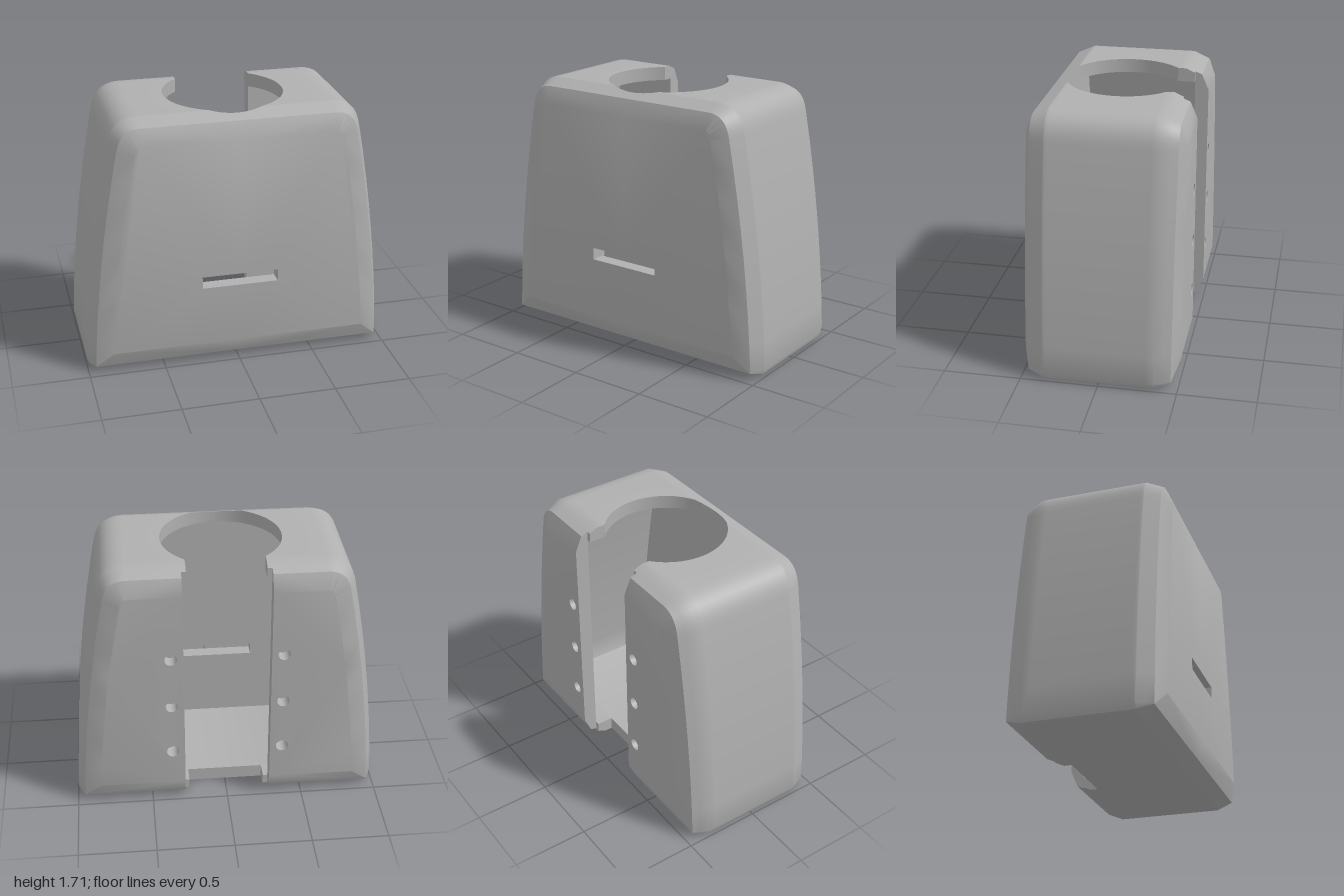
import * as THREE from 'three';
import { mergeGeometries, toCreasedNormals } from 'three/addons/utils/BufferGeometryUtils.js';

const TOP = 1.71, WALL = 0.09, INNER_Z = 0.41, R = 0.39;
const SLIT = 0.28, NOTCH = 0.25, NOTCH_Z = -0.3;
const SLOT = [0.555, 0.635], HOLE_X = 0.36, HOLE_R = 0.04, HOLE_Y = [0.4, 0.755, 1.11];

// Half width of the tapering body at a height
const width = (y) => 1 - 0.045 * y - 0.05 * y * y;

// Right half of the body outline, inset by d, from the top down to the base
function profile(d) {
  const yS = 1.53;
  const corner = new THREE.QuadraticBezierCurve(
    new THREE.Vector2(0.62, TOP - d),
    new THREE.Vector2(0.785 - d * 0.87, TOP - d),
    new THREE.Vector2(width(yS) - d, yS - 0.15 * d)
  );
  const pts = corner.getPoints(8).map((p) => [p.x, p.y]);
  const r = Math.max(0.05 - d, 0.004), n = 8;
  const yA = yS - 0.15 * d, yB = d + r;
  for (let i = 1; i <= n; i++) {
    const y = yA + ((yB - yA) * i) / n;
    pts.push([width(y + 0.15 * d * (1 - i / n)) - d, y]);
  }
  const W = width(yB) - d;
  pts.push([W - 0.3 * r, d + 0.3 * r], [W - r, d]);
  return pts;
}

// Inset of the outline towards the front and back faces (two-step bevel)
function inset(z) {
  const a = Math.abs(z);
  if (a <= 0.35) return 0;
  return a <= 0.455 ? ((a - 0.35) / 0.105) * 0.045 : 0.045 + ((a - 0.455) / 0.045) * 0.105;
}

// Stations along z: e = half width of the top opening, b = of the base notch
function stations() {
  const rows = [-0.5, -0.455, -INNER_Z].map((z) => ({ z, e: SLIT, b: SLIT }));
  for (const z of [-INNER_Z, -0.35, NOTCH_Z]) rows.push({ z, e: NOTCH, b: NOTCH });
  const zs = [0.35, INNER_Z, 0.455, 0.5];
  const t0 = Math.acos(-NOTCH_Z / R), n = 36;
  for (let i = 0; i <= n; i++) zs.push(-R * Math.cos(t0 + ((Math.PI - t0) * i) / n));
  zs.sort((p, q) => p - q);
  for (const z of zs) rows.push({ z, e: Math.sqrt(Math.max(0, R * R - z * z)), b: 0 });
  return rows;
}

// Skin between rows of [x, y, z] points
function loft(rows, flip = false) {
  const pos = [];
  const A = new THREE.Vector3(), B = new THREE.Vector3(), C = new THREE.Vector3();
  const tri = (a, b, c) => {
    A.set(...a); B.set(...b).sub(A); C.set(...c).sub(A);
    if (B.cross(C).length() < 1e-8) return;
    pos.push(...a, ...(flip ? c : b), ...(flip ? b : c));
  };
  for (let i = 0; i + 1 < rows.length; i++)
    for (let j = 0; j + 1 < rows[i].length; j++) {
      const a = rows[i][j], b = rows[i][j + 1], c = rows[i + 1][j + 1], d = rows[i + 1][j];
      tri(a, d, b);
      tri(b, d, c);
    }
  const g = new THREE.BufferGeometry();
  g.setAttribute('position', new THREE.Float32BufferAttribute(pos, 3));
  return g;
}

// Flat half wall at depth z, from x0 outwards, with notch points or round holes
function wall(d, z, x0, { notch = [], holes = false, back = false } = {}) {
  const p = profile(d);
  const outline = [[x0, p[0][1]], ...p, [x0, d], ...notch];
  const shape = new THREE.Shape(outline.map(([x, y]) => new THREE.Vector2(x, y)));
  if (holes)
    for (const y of HOLE_Y)
      shape.holes.push(new THREE.Path().absarc(HOLE_X, y, HOLE_R, 0, Math.PI * 2, true));
  const g = new THREE.ShapeGeometry(shape, 12);
  if (back) g.setIndex(Array.from(g.index.array).reverse());
  g.translate(0, 0, z);
  const out = g.toNonIndexed();
  out.deleteAttribute('uv');
  out.deleteAttribute('normal');
  return out;
}

const smooth = (list) => {
  const g = mergeGeometries(list);
  g.computeVertexNormals();
  return toCreasedNormals(g, 0.6);
};

export function createModel() {
  const grey = new THREE.MeshStandardMaterial({ color: 0xb0b0b0, side: THREE.DoubleSide });
  grey.name = 'grey';

  const rows = stations();
  const inside = rows.slice(2).filter((r) => r.z <= INNER_Z);
  const section = (d, r) =>
    [[r.e, TOP - d], ...profile(d), [r.b, d]].map(([x, y]) => [x, y, r.z]);
  const notch = [[0, SLOT[0]], [NOTCH, SLOT[0]], [NOTCH, SLOT[1]], [0, SLOT[1]]];

  // Outer body with bevelled edges, front face and split back face
  const outer = smooth([
    loft(rows.map((r) => section(inset(r.z), r))),
    wall(0.15, 0.5, 0, { notch }),
    wall(0.15, -0.5, SLIT, { holes: true, back: true }),
  ]);

  // Hollow inside
  const inner = smooth([
    loft(inside.map((r) => section(WALL, r)), true),
    wall(WALL, INNER_Z, 0, { notch, back: true }),
    wall(WALL, -INNER_Z, SLIT, { holes: true }),
  ]);

  // Cut edges of the round top opening, the base notch and the back slit
  const edges = smooth([
    loft(inside.filter((r) => r.z <= R + 1e-6)
      .map((r) => [[r.e, TOP - inset(r.z), r.z], [r.e, TOP - WALL, r.z]]), true),
    loft(inside.filter((r) => r.z <= NOTCH_Z + 1e-6)
      .map((r) => [[r.b, WALL, r.z], [r.b, inset(r.z), r.z]]), true),
    loft(rows.slice(0, 3)
      .map((r) => [[SLIT, TOP - inset(r.z), r.z], [SLIT, inset(r.z), r.z]]), true),
  ]);

  // Walls of the narrow front slot
  const slot = smooth([loft([INNER_Z, 0.5].map((z) => notch.map(([x, y]) => [x, y, z])))]);

  // Bores of the fixing holes
  const bores = mergeGeometries(HOLE_Y.map((y) =>
    new THREE.CylinderGeometry(HOLE_R, HOLE_R, WALL, 24, 1, true)
      .rotateX(Math.PI / 2).translate(HOLE_X, y, -0.455)));

  const parts = { outerShell: outer, innerShell: inner, openingEdges: edges, frontSlot: slot, fixingHoles: bores };
  const model = new THREE.Group();
  model.name = 'hollowHolder';
  for (const [side, sx] of [['leftHalf', 1], ['rightHalf', -1]]) {
    const half = new THREE.Group();
    half.name = side;
    half.scale.x = sx;
    for (const [name, geometry] of Object.entries(parts)) {
      const mesh = new THREE.Mesh(geometry, grey);
      mesh.name = name;
      half.add(mesh);
    }
    model.add(half);
  }
  return model;
}
